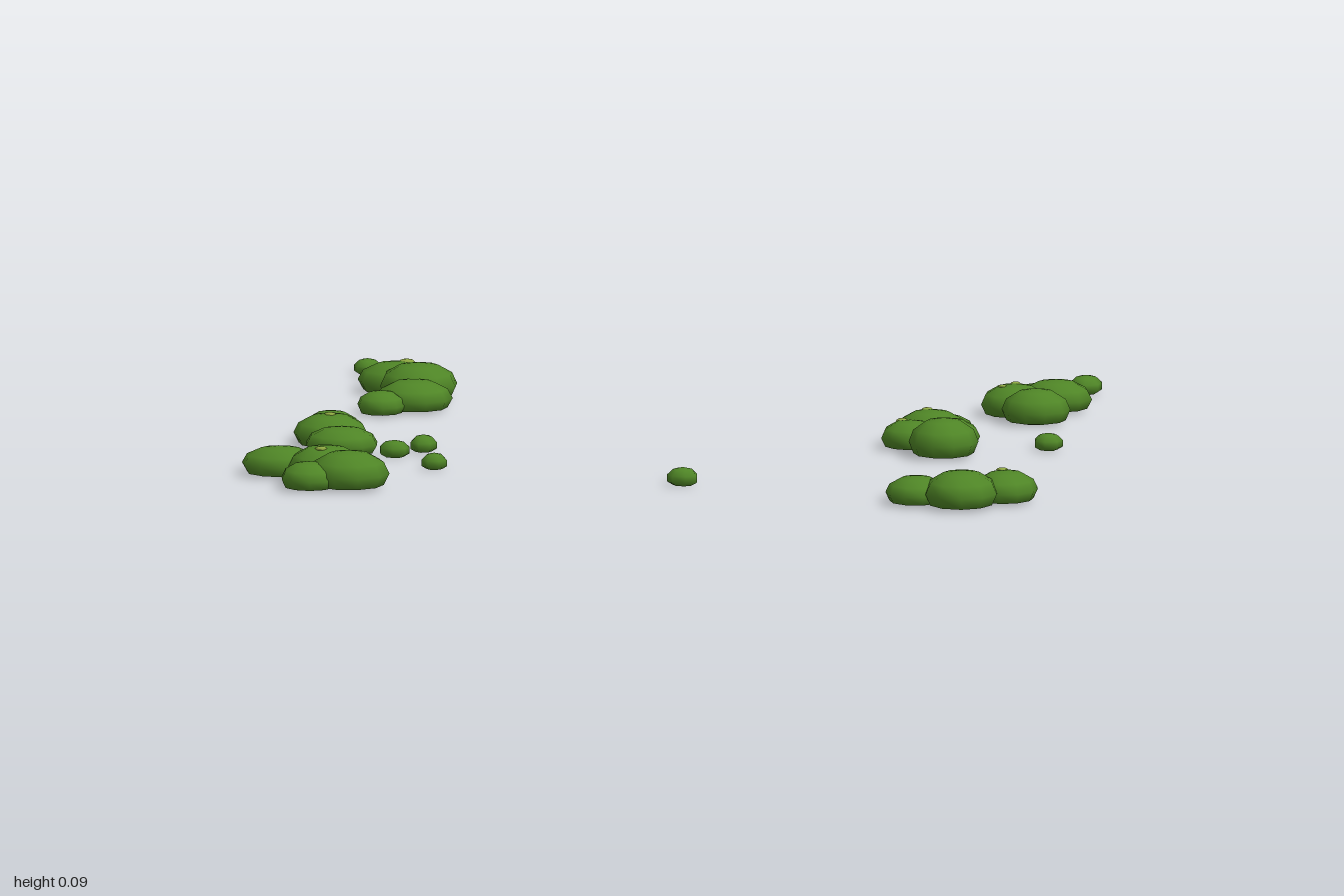
import * as THREE from 'three';
import { mergeVertices } from 'three/addons/utils/BufferGeometryUtils.js';

const moss = new THREE.MeshStandardMaterial({ color: 0x4f8526 });
moss.name = 'moss green';
const bud = new THREE.MeshStandardMaterial({ color: 0x8ea842 });
bud.name = 'pale bud green';

// Squashed low-poly ball, flattened where it meets the ground
function cushion(name, [x, z, rx, rz, top], sides, rows, turn) {
  const g = new THREE.SphereGeometry(1, sides, rows);
  g.deleteAttribute('uv');
  g.deleteAttribute('normal');
  g.rotateY(turn);
  const mid = top * 0.38;
  g.scale(rx, top - mid, rz);
  const p = g.attributes.position;
  for (let i = 0; i < p.count; i++) p.setY(i, Math.max(0, p.getY(i) + mid));
  const smooth = mergeVertices(g, 1e-5);
  smooth.computeVertexNormals();
  const mesh = new THREE.Mesh(smooth, moss);
  mesh.name = name;
  mesh.position.set(x, 0, z);
  return mesh;
}

// Each cushion: x, z, radius x, radius z, height. Each bud: x, z, radius, height of its tip.
const patches = [
  { name: 'backRightPatch',
    cushions: [[-0.81, -0.55, 0.10, 0.08, 0.078], [-0.745, -0.475, 0.098, 0.093, 0.09],
      [-0.73, -0.325, 0.095, 0.085, 0.075], [-0.80, -0.25, 0.06, 0.06, 0.058]],
    buds: [[-0.79, -0.567, 0.022, 0.081]] },
  { name: 'middleRightPatch',
    cushions: [[-0.868, 0.078, 0.07, 0.066, 0.065], [-0.85, 0.197, 0.092, 0.088, 0.08],
      [-0.803, 0.307, 0.092, 0.078, 0.068]],
    buds: [[-0.85, 0.2, 0.016, 0.083]] },
  { name: 'frontRightPatch',
    cushions: [[-0.903, 0.617, 0.098, 0.077, 0.072], [-0.782, 0.657, 0.095, 0.088, 0.085],
      [-0.708, 0.757, 0.10, 0.095, 0.092], [-0.80, 0.795, 0.072, 0.07, 0.068]],
    buds: [[-0.79, 0.684, 0.016, 0.086]] },
  { name: 'backLeftPatch',
    cushions: [[0.78, -0.605, 0.07, 0.07, 0.06], [0.83, -0.585, 0.09, 0.08, 0.076],
      [0.743, -0.488, 0.085, 0.08, 0.08], [0.81, -0.405, 0.085, 0.08, 0.085]],
    buds: [[0.743, -0.5, 0.014, 0.083], [0.715, -0.475, 0.012, 0.079]] },
  { name: 'middleLeftPatch',
    cushions: [[0.632, -0.147, 0.068, 0.068, 0.06], [0.60, -0.105, 0.09, 0.08, 0.08],
      [0.652, -0.045, 0.08, 0.08, 0.07], [0.565, -0.008, 0.075, 0.07, 0.07],
      [0.663, 0.085, 0.086, 0.092, 0.095]],
    buds: [[0.587, -0.125, 0.016, 0.081], [0.54, -0.033, 0.016, 0.069]] },
  { name: 'frontLeftPatch',
    cushions: [[0.706, 0.735, 0.076, 0.08, 0.068], [0.823, 0.762, 0.092, 0.102, 0.09],
      [0.918, 0.67, 0.08, 0.09, 0.076]],
    buds: [[0.903, 0.628, 0.016, 0.075]] },
];

// Loose tufts lying between the patches: x, z, radius x, radius z, height
const tufts = [
  [-0.925, -0.78, 0.035, 0.036, 0.04], [-0.668, 0.328, 0.04, 0.034, 0.042],
  [-0.61, 0.243, 0.035, 0.038, 0.042], [-0.543, 0.474, 0.034, 0.032, 0.04],
  [0.098, 0.592, 0.041, 0.035, 0.045], [0.864, -0.82, 0.042, 0.048, 0.046],
  [0.903, -0.04, 0.038, 0.036, 0.042],
];

export function createModel() {
  const model = new THREE.Group();
  model.name = 'mossPatches';

  patches.forEach((patch, k) => {
    const group = new THREE.Group();
    group.name = patch.name;
    patch.cushions.forEach((c, i) => group.add(cushion('mossCushion', c, 10, 6, k * 0.9 + i * 0.4)));

    // Tiny buds just breaking through the moss
    for (const [x, z, r, tip] of patch.buds) {
      const b = new THREE.Mesh(new THREE.SphereGeometry(r, 6, 4), bud);
      b.name = 'mossBud';
      b.scale.y = 0.4;
      b.position.set(x, tip - r * 0.4, z);
      group.add(b);
    }
    model.add(group);
  });

  tufts.forEach((t, i) => model.add(cushion('looseTuft', t, 7, 5, i * 0.7)));
  return model;
}
